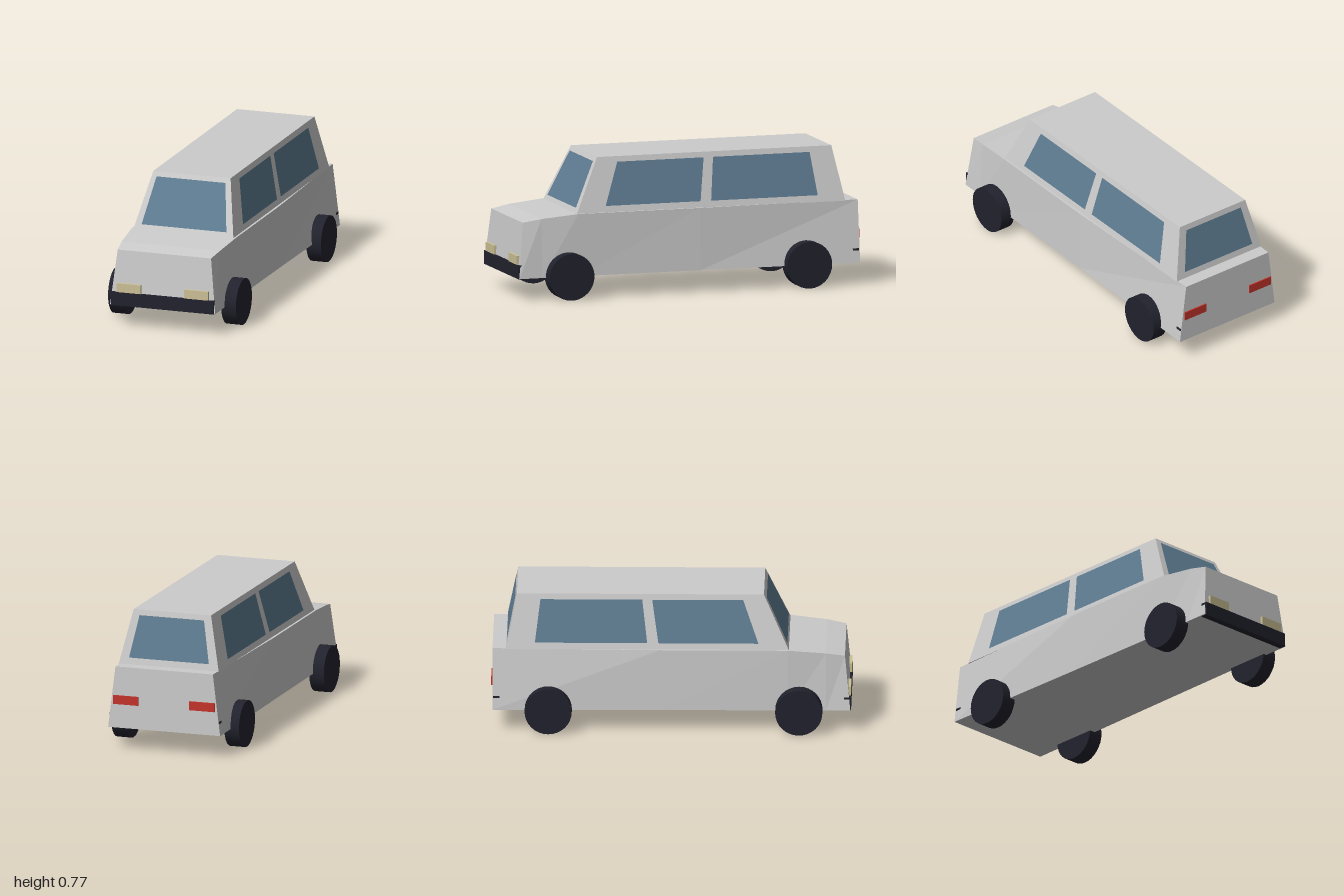
import * as THREE from 'three';

const mat = (name, color) => {
  const m = new THREE.MeshStandardMaterial({ color });
  m.name = name;
  return m;
};

// Flat-shaded geometry from a list of four-cornered faces
function quads(faces) {
  const pos = [];
  for (const [a, b, c, d] of faces) pos.push(...a, ...b, ...c, ...a, ...c, ...d);
  const g = new THREE.BufferGeometry();
  g.setAttribute('position', new THREE.Float32BufferAttribute(pos, 3));
  g.computeVertexNormals();
  return g;
}

// Closed hull through trapezoid sections, listed front to back:
// [bottom y, bottom half width, bottom z, top y, top half width, top z]
function hull(sections) {
  const rings = sections.map(([by, bw, bz, ty, tw, tz]) =>
    [[-bw, by, bz], [bw, by, bz], [tw, ty, tz], [-tw, ty, tz]]);
  const faces = [rings[0], [...rings[rings.length - 1]].reverse()];
  for (let r = 0; r < rings.length - 1; r++) {
    const a = rings[r], b = rings[r + 1];
    for (let i = 0; i < 4; i++) {
      const j = (i + 1) % 4;
      faces.push([a[i], b[i], b[j], a[j]]);
    }
  }
  return quads(faces);
}

export function createModel() {
  const paint = mat('bodyPaint', 0xcccccc);
  const glass = mat('glass', 0x5f7d92);
  const dark = mat('darkRubber', 0x22222e);
  const lamp = mat('headlightCream', 0xccc196);
  const red = mat('taillightRed', 0xc4342a);

  const car = new THREE.Group();
  car.name = 'car';
  const add = (name, geometry, material, x = 0, y = 0, z = 0) => {
    const m = new THREE.Mesh(geometry, material);
    m.name = name;
    m.position.set(x, y, z);
    car.add(m);
    return m;
  };

  // Lower body with sloping bonnet
  add('lowerBody', hull([
    [0.125, 0.31, 0.995, 0.435, 0.275, 0.965],
    [0.125, 0.31, 0.86, 0.453, 0.29, 0.86],
    [0.125, 0.311, 0.65, 0.473, 0.306, 0.65],
    [0.125, 0.318, -0.06, 0.473, 0.308, -0.06],
    [0.125, 0.33, -0.99, 0.473, 0.287, -0.99],
  ]), paint);

  // Tapered cabin
  add('cabin', hull([
    [0.47, 0.295, 0.655, 0.775, 0.228, 0.515],
    [0.47, 0.295, -0.915, 0.775, 0.228, -0.855],
  ]), paint);

  // Points just outside the sloping cabin walls at a given height
  const gap = 0.004;
  const t = (y) => (y - 0.47) / 0.305;
  const wallX = (y) => 0.295 - 0.067 * t(y) + gap;
  const frontZ = (y) => 0.655 - 0.14 * t(y) + gap;
  const rearZ = (y) => -0.915 + 0.06 * t(y) - gap;

  // Windscreen and rear window
  const pane = (zAt, y0, w0, y1, w1, s) => quads([[
    [-w0 * s, y0, zAt(y0)], [w0 * s, y0, zAt(y0)],
    [w1 * s, y1, zAt(y1)], [-w1 * s, y1, zAt(y1)],
  ]]);
  add('windscreen', pane(frontZ, 0.5, 0.25, 0.75, 0.203, 1), glass);
  add('rearWindow', pane(rearZ, 0.51, 0.235, 0.745, 0.19, -1), glass);

  // Side windows: bottom front, bottom back, top back, top front z
  const sideWindows = {
    FrontWindow: [0.485, -0.07, -0.105, 0.4],
    RearWindow: [-0.132, -0.755, -0.725, -0.16],
  };
  const lo = 0.508, hi = 0.745;
  const wheelGeo = new THREE.CylinderGeometry(0.131, 0.131, 0.087, 32).rotateZ(Math.PI / 2);

  for (const [side, s] of [['left', 1], ['right', -1]]) {
    for (const [name, z] of Object.entries(sideWindows)) {
      const p = [lo, lo, hi, hi].map((y, i) => [s * wallX(y), y, z[i]]);
      add(side + name, quads([s > 0 ? p : p.reverse()]), glass);
    }
    add(side + 'FrontWheel', wheelGeo, dark, s * 0.3335, 0.131, 0.71);
    add(side + 'RearWheel', wheelGeo, dark, s * 0.3335, 0.131, -0.68);
    add(side + 'Headlight', new THREE.BoxGeometry(0.142, 0.05, 0.03), lamp, s * 0.199, 0.225, 0.984);
    add(side + 'Taillight', new THREE.BoxGeometry(0.15, 0.05, 0.02), red, s * 0.225, 0.285, -0.987);
  }

  // Bumpers; the rear one only shows at its ends
  add('frontBumper', new THREE.BoxGeometry(0.606, 0.077, 0.04), dark, 0, 0.1615, 0.979);
  add('rearBumper', new THREE.BoxGeometry(0.648, 0.012, 0.036), dark, 0, 0.198, -0.968);

  return car;
}
